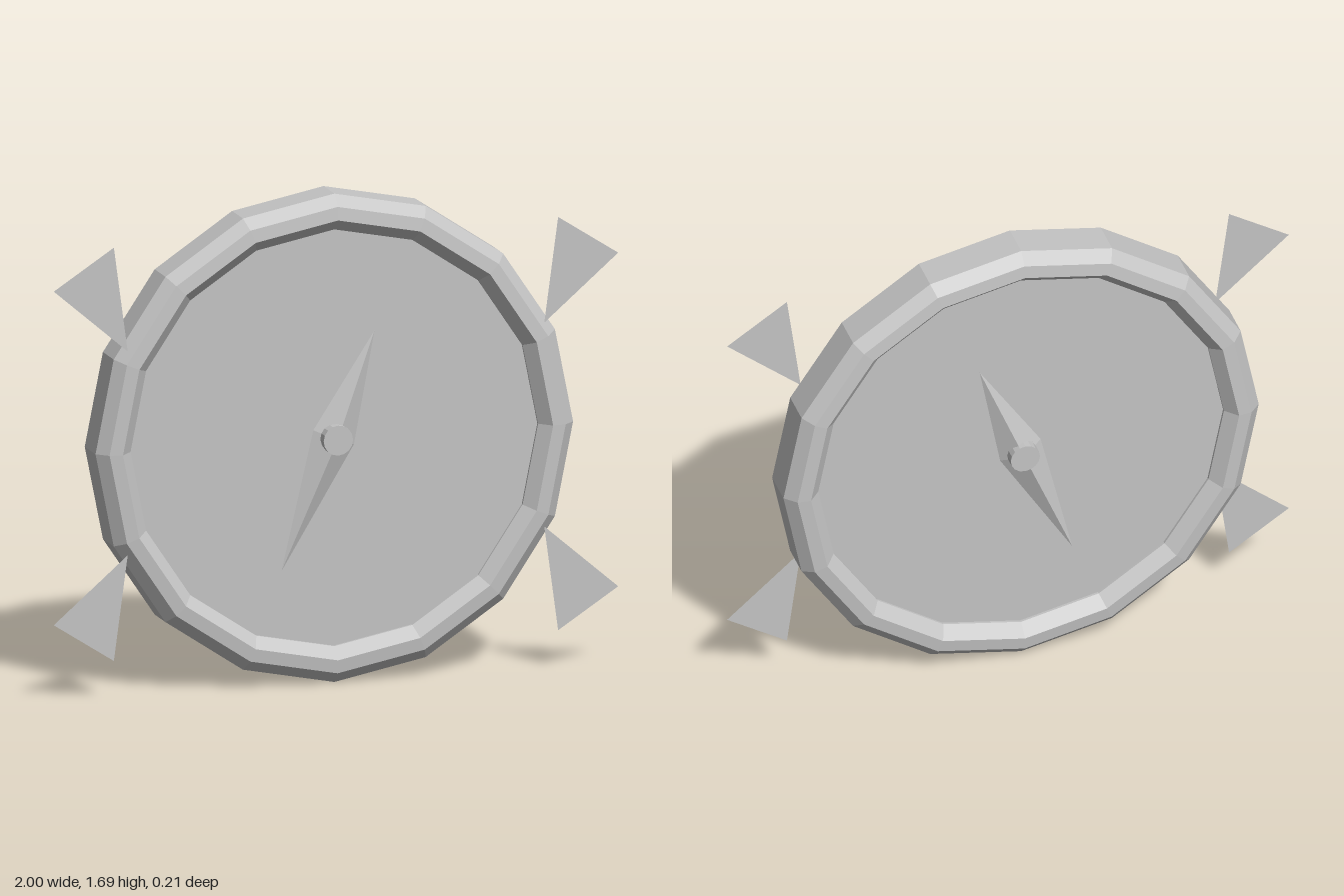
import * as THREE from 'three';

const SIDES = 16;
const CENTER_Y = 0.847;

// Triangles from corner triples, each corner an [x, y, z]
function faceted(triangles) {
  const g = new THREE.BufferGeometry();
  g.setAttribute('position', new THREE.Float32BufferAttribute(triangles.flat(2), 3));
  g.computeVertexNormals();
  return g;
}

export function createModel() {
  const root = new THREE.Group();
  root.name = 'compass';
  const grey = new THREE.MeshStandardMaterial({ color: 0xc4c4c4, flatShading: true, side: THREE.DoubleSide });
  grey.name = 'grey';

  const add = (name, geometry) => {
    const mesh = new THREE.Mesh(geometry, grey);
    mesh.name = name;
    mesh.position.y = CENTER_Y;
    root.add(mesh);
    return mesh;
  };

  // Bevelled rim: closed profile of radius and depth turned about z
  const half = [[0.846, 0.061], [0.808, 0.099], [0.762, 0.104], [0.722, 0.061]];
  const profile = [
    ...half.map(([r, z]) => new THREE.Vector2(r, z)),
    ...half.slice().reverse().map(([r, z]) => new THREE.Vector2(r, -z)),
  ];
  profile.push(profile[0].clone());
  add('rim', new THREE.LatheGeometry(profile, SIDES).rotateX(Math.PI / 2));

  // Dial plate, showing on both sides
  add('dial', new THREE.CylinderGeometry(0.73, 0.73, 0.104, SIDES).rotateX(Math.PI / 2));

  // Ridged needle on each side of the dial
  for (const s of [1, -1]) {
    const base = s * 0.053;
    const corners = [
      [0.145, 0.361, base],
      [-0.072, 0.029, base],
      [-0.185, -0.452, base],
      [0.072, -0.029, base],
    ];
    const peak = [0, 0, s * 0.1];
    const faces = corners.map((c, i) => {
      const next = corners[(i + 1) % 4];
      return s > 0 ? [c, next, peak] : [next, c, peak];
    });
    add(s > 0 ? 'frontNeedle' : 'backNeedle', faceted(faces));
  }

  // Hub pin through the middle
  add('hub', new THREE.CylinderGeometry(0.052, 0.052, 0.214, 16).rotateX(Math.PI / 2));

  // Four flat pointers around the rim
  for (const sx of [1, -1]) {
    for (const sy of [1, -1]) {
      const tri = [[0.738, 0.353], [1, 0.578], [0.787, 0.716]].map(([x, y]) => [sx * x, sy * y, 0.08]);
      if (sx * sy < 0) tri.reverse();
      add((sy > 0 ? 'upper' : 'lower') + (sx > 0 ? 'Left' : 'Right') + 'Pointer', faceted([tri]));
    }
  }

  return root;
}
